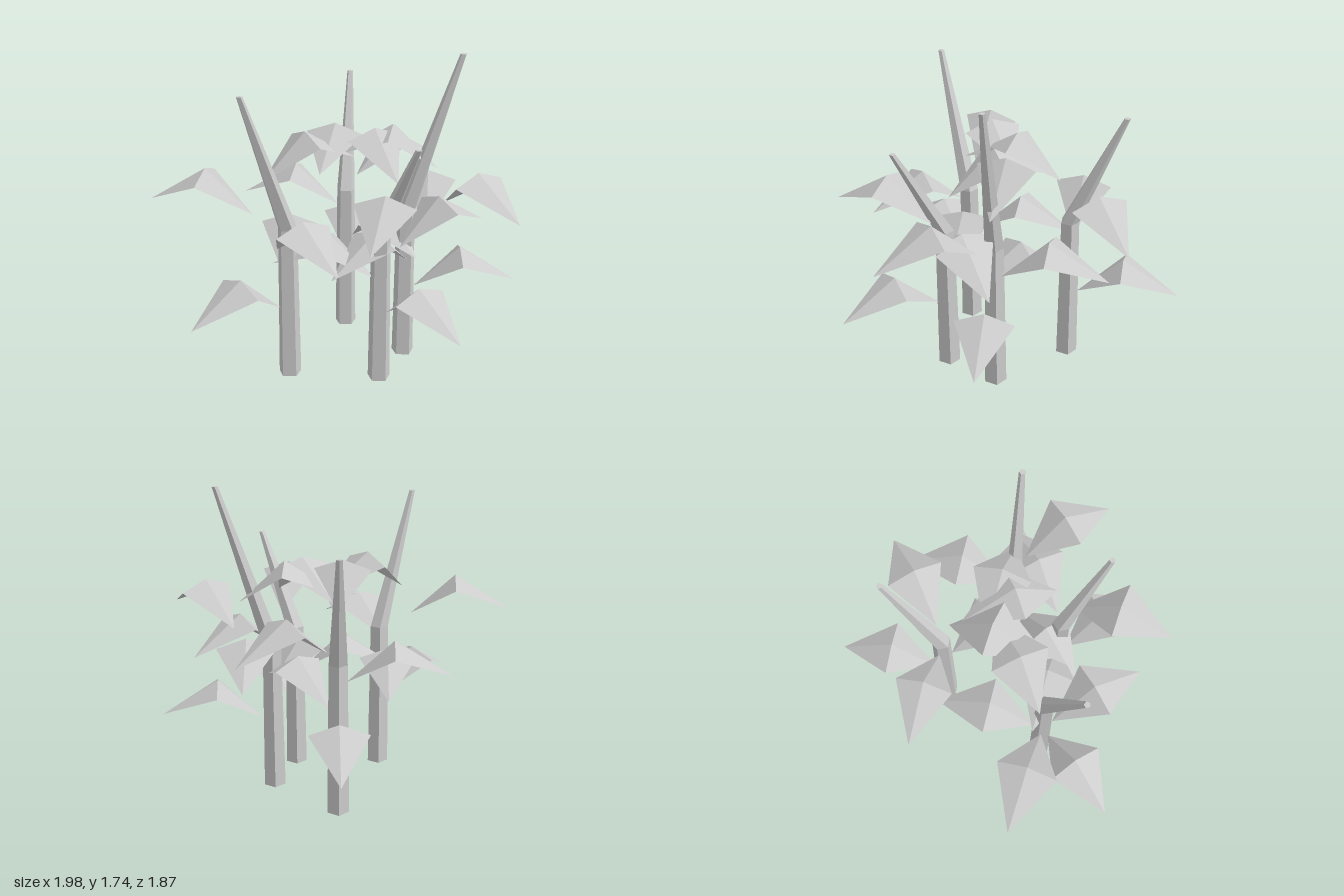
import * as THREE from 'three';

const stemMaterial = new THREE.MeshStandardMaterial({ color: 0xcccccc, flatShading: true });
const leafMaterial = new THREE.MeshStandardMaterial({
  color: 0xcccccc, flatShading: true, side: THREE.DoubleSide,
});

// base and tip of each stem, and the sideways drift of its leaves per level
const STEMS = [
  { base: [-0.26, 0.30], tip: [-0.467, 1.615, 0.48], drift: -0.043 },
  { base: [0.04, -0.315], tip: [0.06, 1.495, -0.595], drift: 0.005 },
  { base: [0.23, 0.34], tip: [0.40, 1.375, 0.553], drift: 0.028 },
  { base: [0.372, 0.048], tip: [0.648, 1.735, 0.048], drift: 0.056 },
];
const LEAVES_PER_STEM = 5;
const GOLDEN_ANGLE = THREE.MathUtils.degToRad(137.5);

// five-sided stem: upright up to the bend, then a thin leaning spike
function makeStem([x, z], tip) {
  const rings = [
    { x, y: 0, z, r: 0.063 },
    { x, y: 0.86, z, r: 0.053 },
    { x: tip[0], y: tip[1], z: tip[2], r: 0.017 },
  ];
  const geometry = new THREE.CylinderGeometry(1, 1, 2, 5, 2, false, Math.PI);
  const p = geometry.attributes.position;
  for (let i = 0; i < p.count; i++) {
    const ring = rings[Math.round(p.getY(i)) + 1];
    p.setXYZ(i, ring.x + p.getX(i) * ring.r, ring.y, ring.z + p.getZ(i) * ring.r);
  }
  geometry.computeVertexNormals();
  const stem = new THREE.Mesh(geometry, stemMaterial);
  stem.name = 'stem';
  return stem;
}

// folded diamond leaf growing along +x: base, ridge, two side corners, tip
function makeLeafGeometry() {
  const geometry = new THREE.BufferGeometry();
  geometry.setAttribute('position', new THREE.Float32BufferAttribute([
    0.055, 0, 0,
    0.305, 0.237, 0,
    0.31, 0.182, 0.158,
    0.31, 0.182, -0.158,
    0.615, 0.045, 0,
  ], 3));
  geometry.setIndex([0, 2, 1, 0, 1, 3, 1, 2, 4, 1, 4, 3]);
  const flat = geometry.toNonIndexed();
  flat.computeVertexNormals();
  return flat;
}

export function createModel() {
  const model = new THREE.Group();
  model.name = 'plantCluster';
  const leafGeometry = makeLeafGeometry();

  for (const { base, tip, drift } of STEMS) {
    const plant = new THREE.Group();
    plant.name = 'plant';
    plant.add(makeStem(base, tip));

    // leaves spiral up, the lowest one pointing the way the stem leans
    const lean = Math.atan2(tip[2] - base[1], tip[0] - base[0]);
    for (let level = 0; level < LEAVES_PER_STEM; level++) {
      const leaf = new THREE.Mesh(leafGeometry, leafMaterial);
      leaf.name = 'leaf';
      leaf.position.set(base[0] + drift * level, 0.415 + 0.173 * level, base[1]);
      leaf.rotation.y = -(lean + level * GOLDEN_ANGLE);
      plant.add(leaf);
    }
    model.add(plant);
  }
  return model;
}
